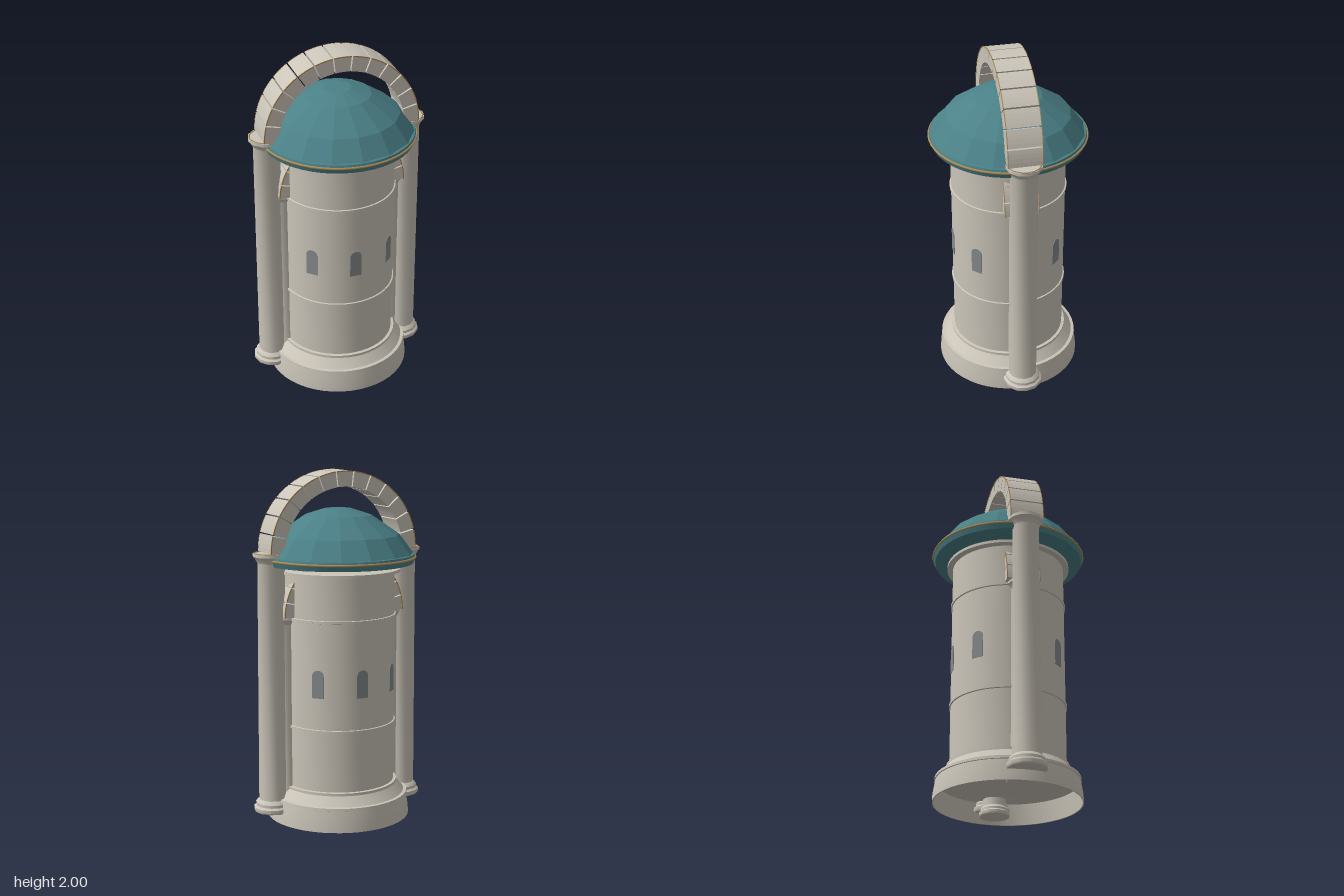
import * as THREE from 'three';
import { toCreasedNormals } from 'three/addons/utils/BufferGeometryUtils.js';

const mat = (name, color, side = THREE.FrontSide) => {
  const m = new THREE.MeshStandardMaterial({ color, side });
  m.name = name;
  return m;
};

export function createModel() {
  const model = new THREE.Group();
  model.name = 'tower';
  const stone = mat('pale stone', 0xcbc5b9);
  const teal = mat('teal roof', 0x4b8188);
  const gold = mat('gold trim', 0xb08d57);
  const glass = mat('window grey', 0x868a8a);
  teal.flatShading = false;

  const add = (parent, name, geo, material, x = 0, y = 0, z = 0) => {
    const mesh = new THREE.Mesh(geo, material);
    mesh.name = name;
    mesh.position.set(x, y, z);
    parent.add(mesh);
    return mesh;
  };
  // turned part with sharp steps and smooth sides
  const turned = (points, sides, crease = 0.6) => toCreasedNormals(
    new THREE.LatheGeometry(points.map(([r, y]) => new THREE.Vector2(r, y)), sides), crease);
  // block cut from a flat ring, centred on z = 0
  const arcBlock = (inner, outer, a0, a1, depth, segments) => {
    const s = new THREE.Shape();
    s.absarc(0, 0, outer, a0, a1, false);
    s.absarc(0, 0, inner, a1, a0, true);
    s.closePath();
    const g = new THREE.ExtrudeGeometry(s, { depth, bevelEnabled: false, curveSegments: segments });
    return g.translate(0, 0, -depth / 2);
  };

  // plinth with a hollow underside
  add(model, 'plinth', turned([
    [0, 0.12], [0.395, 0.12], [0.408, 0], [0.415, 0], [0.413, 0.04], [0.4, 0.12],
    [0.405, 0.122], [0.403, 0.138], [0.385, 0.14], [0.342, 0.192], [0.342, 0.207], [0.325, 0.209],
  ], 48, 0.4), stone);

  // round wall with two string courses and a top cornice
  const band = (y, h) => [[0.325, y], [0.333, y + 0.002], [0.333, y + h], [0.325, y + h + 0.002]];
  add(model, 'wall', turned([
    [0.325, 0.2], ...band(0.55, 0.016), ...band(1.172, 0.016),
    [0.325, 1.425], [0.358, 1.43], [0.358, 1.447], [0.34, 1.45], [0, 1.45],
  ], 48, 0.4), stone);

  // arched windows around the wall
  const arched = new THREE.Shape();
  arched.moveTo(-0.034, 0);
  arched.lineTo(0.034, 0);
  arched.lineTo(0.034, 0.125);
  arched.absarc(0, 0.125, 0.034, 0, Math.PI, false);
  arched.closePath();
  const windowGeo = new THREE.ExtrudeGeometry(arched, { depth: 0.006, bevelEnabled: false, curveSegments: 8 });
  for (const deg of [0, 45, 135, 180, 225, 315]) {
    const a = THREE.MathUtils.degToRad(deg);
    const w = add(model, 'window', windowGeo, glass, Math.sin(a) * 0.321, 0.75, Math.cos(a) * 0.321);
    w.rotation.y = a;
  }

  // faceted dome floating above the cornice, on a round eave
  const dome = new THREE.LatheGeometry([
    [0.43, 1.53], [0.35, 1.638], [0.19, 1.748], [0.08, 1.783], [0, 1.785],
  ].map(([r, y]) => new THREE.Vector2(r, y)), 16);
  add(model, 'dome', toCreasedNormals(dome, 0.1), teal);
  add(model, 'eave', turned([
    [0, 1.478], [0.43, 1.478], [0.442, 1.51], [0.436, 1.53], [0.4, 1.535],
  ], 48), teal);
  const ring = add(model, 'eaveTrim', new THREE.TorusGeometry(0.441, 0.007, 6, 48), gold, 0, 1.512, 0);
  ring.rotation.x = Math.PI / 2;

  // pair of columns carrying an arch of separate blocks
  const portal = (name, x, bottom, spring, k, inner, outer) => {
    const g = new THREE.Group();
    g.name = name;
    model.add(g);
    const profile = [
      [0, bottom], ...[[0.108, 0], [0.112, 0.008], [0.112, 0.026], [0.1, 0.036], [0.1, 0.052],
        [0.09, 0.066], [0.082, 0.072]].map(([r, y]) => [r * k, bottom + y * k]),
      ...[[0.077, -0.055], [0.083, -0.045], [0.096, -0.022], [0.102, -0.018], [0.102, 0], [0, 0]]
        .map(([r, y]) => [r * k, spring + y * k]),
    ];
    const columnGeo = turned(profile, 12);
    for (const side of [-1, 1]) {
      add(g, 'column', columnGeo, stone, side * x, 0, 0);
      const trim = add(g, 'capitalTrim', new THREE.TorusGeometry(0.094 * k, 0.004, 4, 16), gold, side * x, spring, 0);
      trim.rotation.x = Math.PI / 2;
    }
    const count = 13, step = Math.PI / count, gap = 0.009;
    for (let i = 0; i < count; i++) {
      const a0 = i * step + gap, a1 = (i + 1) * step - gap;
      add(g, 'archBlock', arcBlock(inner, outer, a0, a1, 0.19, 2), stone, 0, spring, 0);
      for (const side of [-1, 1]) {
        add(g, 'archTrim', arcBlock(outer - 0.005, outer + 0.001, a0, a1, 0.004, 2), gold, 0, spring, side * 0.095);
      }
    }
  };
  portal('outerArch', 0.411, 0.06, 1.549, 1, 0.362, 0.45);
  portal('innerArch', 0.32, 0.02, 1.19, 0.8, 0.277, 0.37);

  return model;
}
